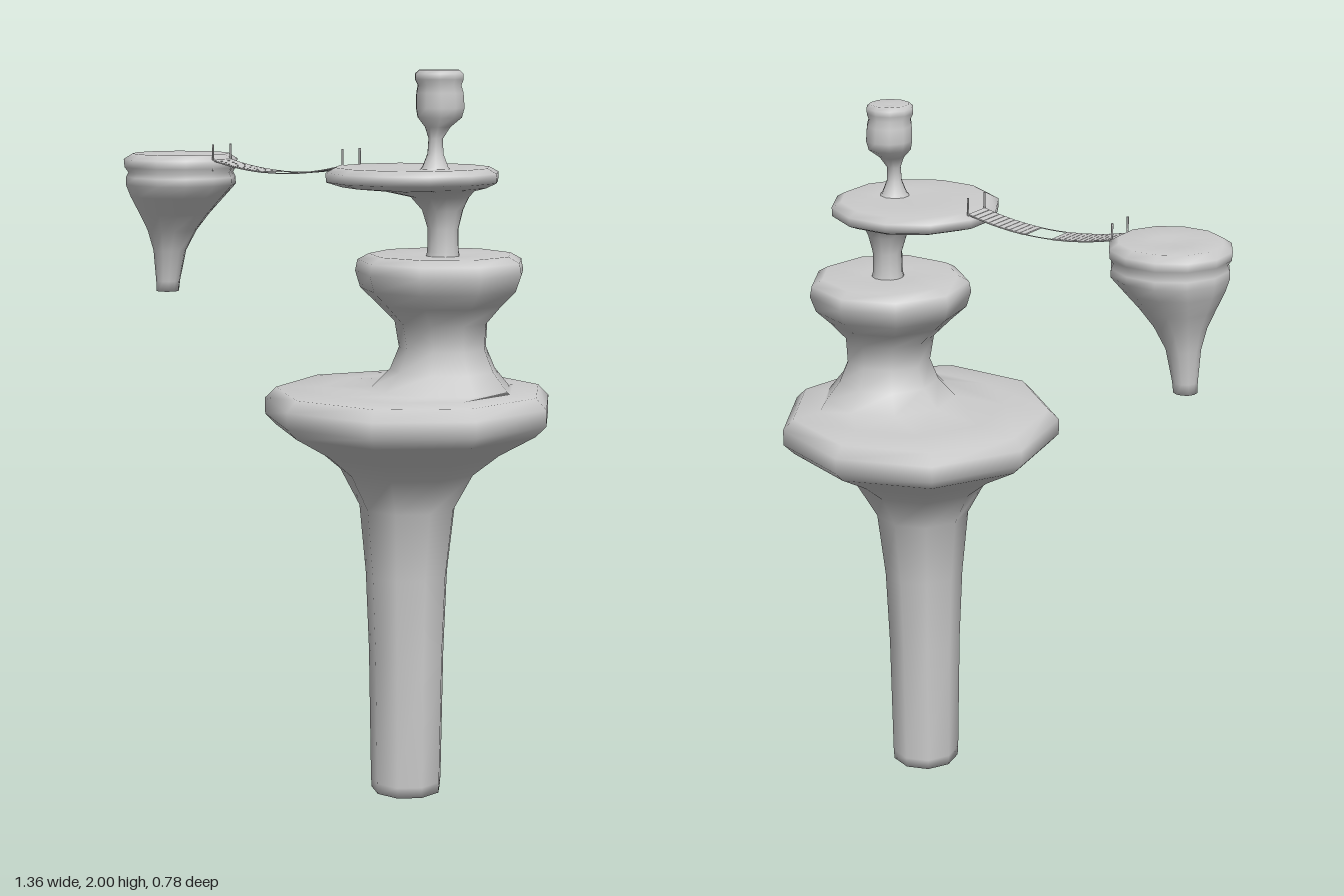
import * as THREE from 'three';

const material = new THREE.MeshStandardMaterial({ color: 0xcccccc, side: THREE.DoubleSide });

// Smooth closed skin through rings given as [y, radius, centreX, centreZ].
function loft(name, sides, phase, rings) {
  const positions = [], index = [];
  rings.forEach(([y, r, cx, cz]) => {
    for (let j = 0; j < sides; j++) {
      const a = ((j + phase) / sides) * Math.PI * 2;
      positions.push(cx + r * Math.sin(a), y, cz - r * Math.cos(a));
    }
  });
  for (let i = 0; i < rings.length - 1; i++) {
    for (let j = 0; j < sides; j++) {
      const k = (j + 1) % sides, a = i * sides, b = a + sides;
      index.push(a + j, b + j, a + k, a + k, b + j, b + k);
    }
  }
  const geometry = new THREE.BufferGeometry();
  geometry.setAttribute('position', new THREE.Float32BufferAttribute(positions, 3));
  geometry.setIndex(index);
  geometry.computeVertexNormals();
  const mesh = new THREE.Mesh(geometry, material);
  mesh.name = name;
  return mesh;
}

// Hanging plank bridge between the dish and the islet
function createBridge() {
  const bridge = new THREE.Group();
  bridge.name = 'ropeBridge';
  const x0 = -0.365, x1 = 0.09, zs = [-0.03, 0.05];
  const sag = (x) => {
    const t = (2 * (x - x0)) / (x1 - x0) - 1;
    return 1.711 + 0.028 * t * t;
  };
  const slope = (x) => Math.atan((sag(x + 0.005) - sag(x - 0.005)) / 0.01);

  // planks, with a few missing in the middle
  const count = 27, pitch = (x1 - x0) / count;
  const plank = new THREE.BoxGeometry(pitch * 0.93, 0.004, 0.08);
  for (let i = 0; i < count; i++) {
    const x = x0 + (i + 0.5) * pitch;
    if (x > -0.18 && x < -0.1) continue;
    const mesh = new THREE.Mesh(plank, material);
    mesh.name = 'plank';
    mesh.position.set(x, sag(x), 0.01);
    mesh.rotation.z = slope(x);
    bridge.add(mesh);
  }

  // side ropes and end posts
  for (const z of zs) {
    const points = [];
    for (let i = 0; i <= 10; i++) {
      const x = x0 + ((x1 - x0) * i) / 10;
      points.push(new THREE.Vector3(x, sag(x), z));
    }
    const rope = new THREE.Mesh(
      new THREE.TubeGeometry(new THREE.CatmullRomCurve3(points), 24, 0.0015, 5), material);
    rope.name = 'rope';
    bridge.add(rope);
    for (const x of [x0, x1]) {
      const post = new THREE.Mesh(new THREE.CylinderGeometry(0.003, 0.003, 0.075, 6), material);
      post.name = 'post';
      post.position.set(x, 1.747, z);
      bridge.add(post);
    }
  }
  return bridge;
}

export function createModel() {
  const model = new THREE.Group();
  model.name = 'tieredTower';

  // Tall stem, wide lower tier, waist and second tier
  model.add(loft('trunkAndTiers', 9, 0, [
    [0, 0, 0.285, 0.01],
    [0, 0.098, 0.285, 0.01],
    [0.03, 0.1, 0.285, 0.01],
    [0.4, 0.106, 0.284, 0.01],
    [0.62, 0.115, 0.282, 0.008],
    [0.81, 0.135, 0.282, 0.005],
    [0.91, 0.19, 0.282, 0.002],
    [0.97, 0.265, 0.282, 0],
    [1.03, 0.37, 0.282, 0],
    [1.06, 0.4, 0.282, 0],
    [1.105, 0.4, 0.282, 0],
    [1.135, 0.37, 0.282, 0],
    [1.14, 0.27, 0.31, 0],
    [1.15, 0.19, 0.39, 0.005],
    [1.2, 0.145, 0.395, 0.005],
    [1.26, 0.12, 0.395, 0.007],
    [1.33, 0.128, 0.392, 0.01],
    [1.38, 0.175, 0.388, 0.01],
    [1.42, 0.217, 0.385, 0.008],
    [1.465, 0.232, 0.385, 0.006],
    [1.495, 0.226, 0.385, 0.006],
    [1.512, 0.195, 0.385, 0.006],
    [1.508, 0.08, 0.385, 0.006],
    [1.506, 0, 0.385, 0.006],
  ]));

  // Slim neck flaring into an off-centre dish
  model.add(loft('upperDish', 12, 0.5, [
    [1.49, 0.05, 0.39, 0.005],
    [1.52, 0.043, 0.39, 0.005],
    [1.58, 0.042, 0.39, 0.005],
    [1.63, 0.056, 0.388, 0.005],
    [1.665, 0.08, 0.383, 0.01],
    [1.682, 0.13, 0.35, 0.018],
    [1.69, 0.2, 0.31, 0.022],
    [1.703, 0.235, 0.303, 0.024],
    [1.728, 0.236, 0.303, 0.024],
    [1.742, 0.21, 0.303, 0.024],
    [1.74, 0.1, 0.33, 0.024],
    [1.738, 0, 0.35, 0.024],
  ]));

  // Small bulb on a thin stalk
  model.add(loft('topBulb', 10, 0, [
    [1.73, 0.05, 0.38, 0.03],
    [1.745, 0.036, 0.38, 0.03],
    [1.78, 0.022, 0.38, 0.03],
    [1.82, 0.02, 0.38, 0.029],
    [1.85, 0.035, 0.381, 0.022],
    [1.875, 0.061, 0.382, 0.014],
    [1.9, 0.067, 0.382, 0.012],
    [1.94, 0.065, 0.382, 0.014],
    [1.96, 0.06, 0.382, 0.016],
    [1.975, 0.067, 0.382, 0.018],
    [1.99, 0.067, 0.382, 0.018],
    [2.0, 0.055, 0.382, 0.018],
    [1.995, 0, 0.382, 0.018],
  ]));

  // Separate floating islet with a tapering root
  model.add(loft('floatingIslet', 12, 0.5, [
    [1.35, 0, -0.578, 0.005],
    [1.35, 0.033, -0.578, 0.005],
    [1.38, 0.035, -0.576, 0.005],
    [1.47, 0.048, -0.568, 0.005],
    [1.53, 0.072, -0.557, 0.006],
    [1.58, 0.103, -0.546, 0.007],
    [1.63, 0.138, -0.532, 0.008],
    [1.665, 0.16, -0.52, 0.008],
    [1.687, 0.159, -0.52, 0.008],
    [1.7, 0.152, -0.52, 0.008],
    [1.715, 0.163, -0.52, 0.008],
    [1.738, 0.165, -0.52, 0.008],
    [1.754, 0.14, -0.52, 0.008],
    [1.75, 0.06, -0.52, 0.008],
    [1.748, 0, -0.52, 0.008],
  ]));

  model.add(createBridge());
  return model;
}
